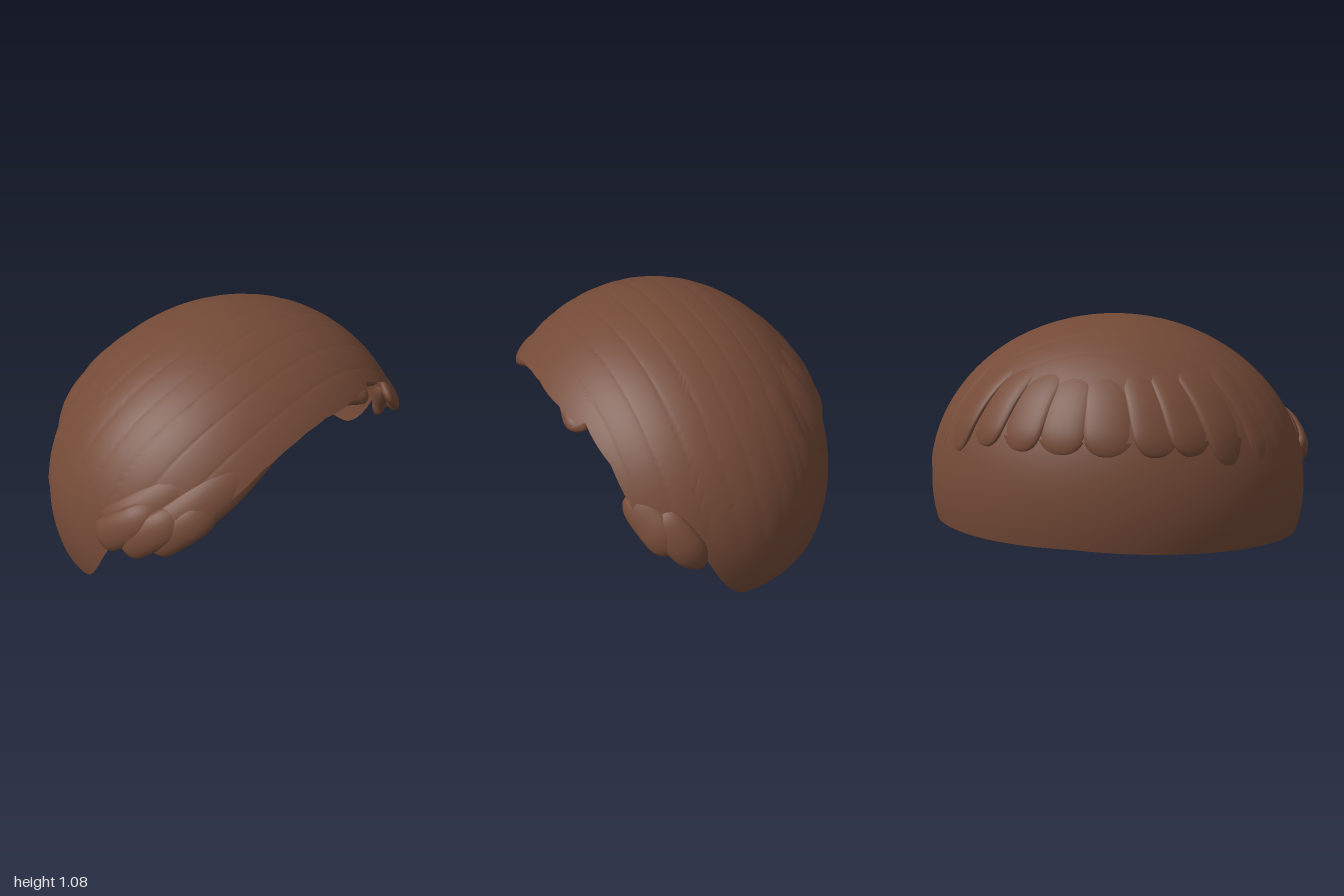
import * as THREE from 'three';
import { mergeVertices } from 'three/addons/utils/BufferGeometryUtils.js';

const RAD = Math.PI / 180;
const BASE_Y = 0.2, RX = 0.998, RY = 0.877;

// Point on the head ellipsoid: angle from the front (degrees, + is +x), height y, scale.
function onHead(deg, y, scale = 1) {
  const c = THREE.MathUtils.clamp((y - BASE_Y) / RY, -1, 1);
  const s = Math.sqrt(1 - c * c);
  const z = s * Math.cos(deg * RAD);
  return new THREE.Vector3(
    RX * scale * s * Math.sin(deg * RAD),
    BASE_Y + RY * scale * c,
    0.08 + (z > 0 ? 0.9 : 0.82) * scale * z);
}

// Grid of points as a smooth welded surface.
function sheet(nu, nv, fn) {
  const pos = [], idx = [];
  for (let i = 0; i <= nu; i++)
    for (let j = 0; j <= nv; j++) pos.push(...fn(i / nu, j / nv).toArray());
  for (let i = 0; i < nu; i++)
    for (let j = 0; j < nv; j++) {
      const a = i * (nv + 1) + j, b = a + 1, c = a + nv + 1, d = c + 1;
      idx.push(a, b, c, b, d, c);
    }
  let g = new THREE.BufferGeometry();
  g.setAttribute('position', new THREE.Float32BufferAttribute(pos, 3));
  g.setIndex(idx);
  g = mergeVertices(g, 1e-5);
  g.computeVertexNormals();
  return g;
}

// Height of an edge at an angle; a third value in a row sags that segment into a round tip.
function edgeHeight(rows, deg) {
  let k = 0;
  while (k < rows.length - 2 && deg > rows[k + 1][0]) k++;
  const [d0, y0, sag = 0] = rows[k], [d1, y1] = rows[k + 1];
  const f = THREE.MathUtils.clamp((deg - d0) / (d1 - d0), 0, 1);
  return y0 + (y1 - y0) * f - sag * Math.sqrt(Math.max(0, 1 - (2 * f - 1) ** 2));
}

// Dome from the crown down to an edge; relief gives the scale at each point.
function dome(nu, nv, edge, relief) {
  return sheet(nu, nv, (u, v) => {
    const deg = -180 + 360 * u;
    const theta = v * Math.acos((edge(deg) - BASE_Y) / RY);
    const y = BASE_Y + RY * Math.cos(theta);
    return onHead(deg, y, relief(onHead(deg, y)));
  });
}

// Tapered lock swept along rows of [angle, height, scale].
function lock(rows, width, depth, taper = 0.5) {
  const curve = new THREE.CatmullRomCurve3(rows.map(r => onHead(...r)));
  const centre = new THREE.Vector3(0, BASE_Y, 0.08);
  return sheet(20, 36, (u, v) => {
    const p = curve.getPoint(v), t = curve.getTangent(v);
    const n = p.clone().sub(centre);
    n.addScaledVector(t, -n.dot(t)).normalize();
    const b = new THREE.Vector3().crossVectors(t, n);
    const r = Math.pow(Math.max(0, 1 - Math.pow(Math.abs(2 * v - 1), 4)), taper);
    const a = u * Math.PI * 2;
    return p.addScaledVector(b, Math.cos(a) * width * r)
      .addScaledVector(n, Math.sin(a) * depth * r);
  });
}

export function createModel() {
  const model = new THREE.Group();
  const brown = new THREE.MeshStandardMaterial({ color: 0x744a37, side: THREE.DoubleSide });
  brown.name = 'brown hair';
  const add = (name, geometry) => {
    const mesh = new THREE.Mesh(geometry, brown);
    mesh.name = name;
    model.add(mesh);
  };

  // Smooth cap, open at the face
  const capEdge = [[0, 0.84], [30, 0.81], [46, 0.7], [56, 0.6], [66, 0.45], [75, 0.32],
    [78, 0.23], [80, 0.165], [82, 0.11], [84, 0.065], [86, 0.032], [88, 0.01], [90, 0.002],
    [92, 0], [135, 0.035], [180, 0.062]];
  add('cap', dome(180, 40, d => edgeHeight(capEdge, Math.abs(d)), () => 1));

  // Combed top layer with swept grooves and a scalloped edge
  const hairEdge = [[-180, 0.56], [-128, 0.56], [-126, 0.46, 0.12], [-108, 0.42, 0.1],
    [-92, 0.42, 0.1], [-77, 0.4], [-70, 0.4], [-62, 0.44], [-55, 0.5], [-42, 0.58],
    [-29, 0.7], [-20, 0.75], [-10, 0.785], [0, 0.8], [18, 0.79], [27, 0.75], [32, 0.79],
    [46, 0.68], [50.5, 0.6], [56, 0.5], [59, 0.44], [62, 0.39], [66, 0.35], [73, 0.3],
    [77, 0.43, 0.11], [92, 0.42, 0.11], [108, 0.42, 0.14], [126, 0.46], [128, 0.56], [180, 0.56]];
  add('topHair', dome(300, 120, d => edgeHeight(hairEdge, d), p => {
    const band = (p.z + 0.13 * p.x * p.x + 0.02 * Math.sin(4 * p.x)) / 0.125;
    const fade = THREE.MathUtils.smoothstep(p.z, -0.5, -0.2);
    return 1.008 - 0.006 * fade * (1 - Math.pow(Math.abs(Math.sin(Math.PI * band)), 0.18));
  }));

  // Round-tipped locks around the back, rooted under the crown
  for (const d of [-48, -36, -25, -10, 5, 19, 33, 46]) {
    const tip = Math.abs(d) > 45 ? 0.43 : 0.49;
    add('backLock', lock([[180 - d * 1.1, 1.0, 0.95], [180 - d, 0.86, 0.965], [180 - d, 0.74, 0.98],
      [180 - d, 0.6, 0.985], [180 - d, tip, 0.985]], 0.13, 0.032));
  }

  // Side locks behind the scalloped edge
  for (const side of [-1, 1])
    for (const d of [84.5, 100, 117])
      add('sideLock', lock([[side * d, 1.0, 0.955], [side * d, 0.82, 0.965],
        [side * d, 0.55, 0.965], [side * d, 0.33, 0.965]], 0.125, 0.04));

  // Long fringe locks swept underneath towards the right side
  const sweeps = [
    [[26, 0.85, 0.945], [0, 0.89, 0.945], [-25, 0.81, 0.945], [-44, 0.63, 0.965], [-58, 0.48, 0.995], [-70, 0.39, 1.015]],
    [[30, 0.92, 0.945], [0, 0.96, 0.945], [-30, 0.87, 0.945], [-54, 0.67, 0.95], [-68, 0.51, 0.985], [-80, 0.42, 1.005]],
    [[34, 0.98, 0.945], [0, 1.02, 0.945], [-40, 0.92, 0.945], [-64, 0.72, 0.95], [-75, 0.52, 0.955], [-80, 0.34, 0.95]],
    [[52, 0.83, 0.95], [36, 0.95, 0.95], [0, 1.055, 0.95], [-60, 0.98, 0.95], [-82, 0.76, 0.95], [-88, 0.5, 0.96]],
  ];
  for (const rows of sweeps) add('fringeLock', lock(rows, 0.105, 0.05));

  // Rounded tufts at the right temple
  for (const [d, y, s] of [[-56, 0.46, 1.0], [-64, 0.43, 1.015], [-72, 0.43, 1.02]])
    add('rightTuft', lock([[d + 12, y + 0.12, 0.98], [d + 5, y + 0.05, s],
      [d - 3, y - 0.04, s], [d - 7, y - 0.09, s - 0.02]], 0.085, 0.042));
  add('rightTuft', lock([[-52, 0.55, 0.95], [-58, 0.46, 0.94], [-63, 0.38, 0.93], [-65, 0.29, 0.92]], 0.06, 0.03));

  // Pointed and rounded tufts at the left temple
  add('leftTuft', lock([[52, 0.58, 0.97], [58, 0.5, 0.985], [63, 0.42, 1.005], [67, 0.34, 1]], 0.085, 0.032));
  add('leftTuft', lock([[60, 0.54, 0.97], [65, 0.46, 1], [70, 0.37, 1.01], [75, 0.24, 0.995]], 0.085, 0.032, 0.9));
  add('leftTuft', lock([[56, 0.56, 0.95], [62, 0.45, 0.94], [66, 0.36, 0.94], [68, 0.26, 0.93]], 0.05, 0.03, 0.9));

  // Small folds in the fringe
  add('fringeFold', lock([[8, 0.83, 0.96], [17, 0.81, 0.97], [26, 0.765, 0.985], [32, 0.78, 0.96]], 0.035, 0.025));
  add('fringeFold', lock([[20, 0.83, 0.95], [30, 0.8, 0.95], [40, 0.76, 0.95], [50, 0.67, 0.96]], 0.03, 0.025));

  return model;
}
